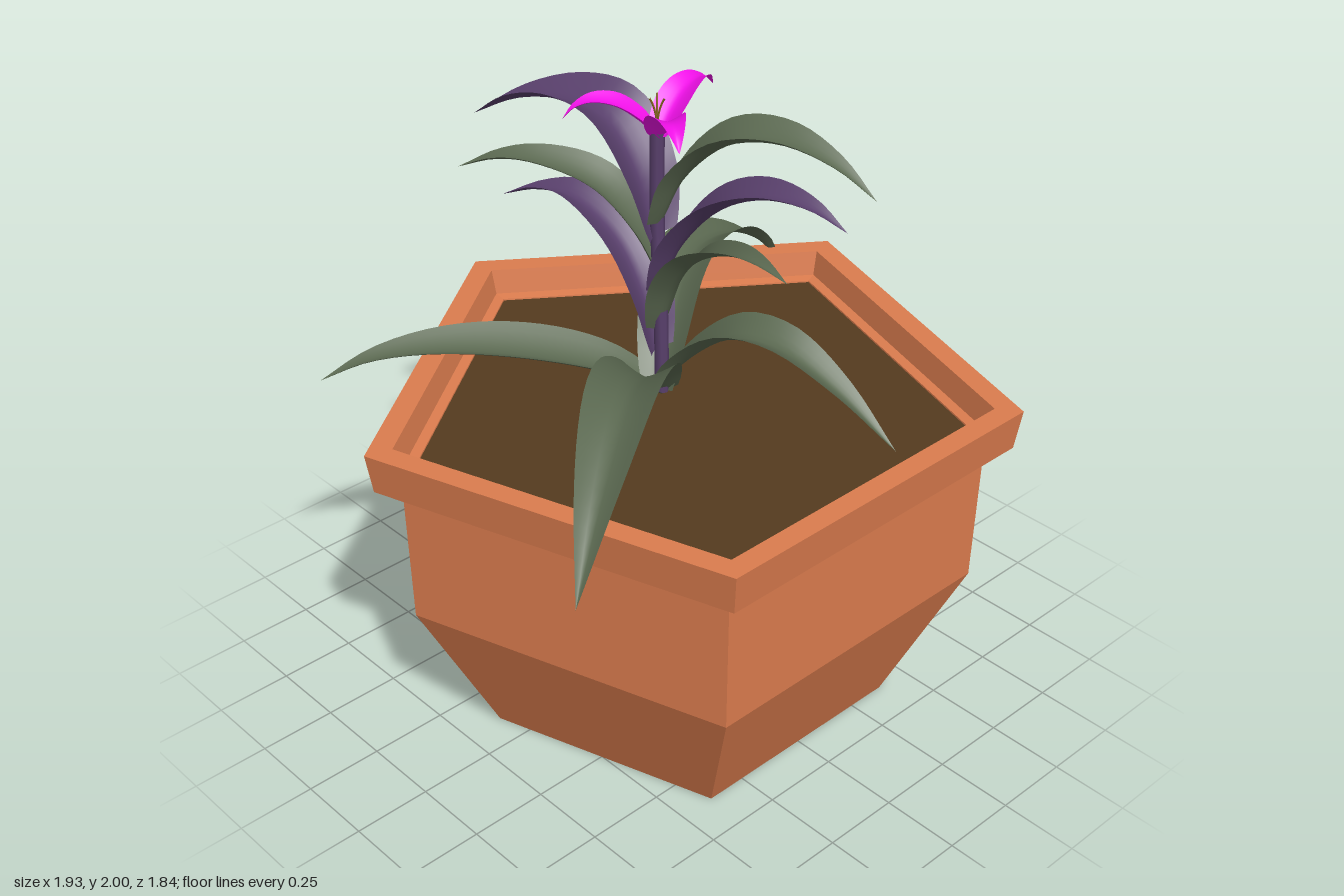
import * as THREE from 'three';

const CENTRE_Z = 0.093; // centre of the five-sided pot
const STEM = new THREE.Vector3(0, 0, -0.025);

const paint = (color, opts = {}) => new THREE.MeshStandardMaterial({ color, ...opts });

// Channelled blade swept along a curve; side is the fixed horizontal across-direction
function bladeGeometry(curve, side, halfWidth, fold, rows = 22, cols = 8) {
  const pos = [], index = [];
  for (let i = 0; i <= rows; i++) {
    const t = i / rows;
    const p = curve.getPointAt(t);
    const normal = curve.getTangentAt(t).cross(side).normalize();
    const w = halfWidth * Math.sin(Math.PI * (0.18 + 0.82 * Math.pow(t, 0.9)));
    for (let j = 0; j <= cols; j++) {
      const s = (j / cols) * 2 - 1;
      const lift = w * fold * (Math.pow(Math.abs(s), 1.4) - 0.4);
      const v = p.clone().addScaledVector(side, s * w).addScaledVector(normal, lift);
      pos.push(v.x, v.y, v.z);
      if (i < rows && j < cols) {
        const a = i * (cols + 1) + j, b = a + cols + 1;
        index.push(a, b, a + 1, a + 1, b, b + 1);
      }
    }
  }
  const g = new THREE.BufferGeometry();
  g.setAttribute('position', new THREE.Float32BufferAttribute(pos, 3));
  g.setIndex(index);
  g.computeVertexNormals();
  return g;
}

// Arching blade from the stem to a tip; arch lists [fraction of reach, height]
function blade(name, material, tip, rootY, arch, halfWidth, bow = 0, fold = 0.5) {
  const root = STEM.clone().setY(rootY);
  const reach = new THREE.Vector3(tip[0], rootY, tip[2]).sub(root);
  const side = new THREE.Vector3(0, 1, 0).cross(reach).normalize();
  const points = arch.map(([f, y]) => root.clone()
    .addScaledVector(reach, f)
    .addScaledVector(side, bow * Math.sin(Math.PI * f))
    .setY(y));
  const curve = new THREE.CatmullRomCurve3([root, ...points, new THREE.Vector3(...tip)]);
  const mesh = new THREE.Mesh(bladeGeometry(curve, side, halfWidth, fold), material);
  mesh.name = name;
  return mesh;
}

export function createModel() {
  const model = new THREE.Group();
  model.name = 'pottedPlant';
  const green = paint(0x5a6850, { side: THREE.DoubleSide });
  const purple = paint(0x583f6b, { side: THREE.DoubleSide });
  const magenta = paint(0xf010e8, { side: THREE.DoubleSide });

  // Pot: one five-sided profile, outside, rim and inside
  const profile = [[0, 0], [0.65, 0], [0.9, 0.5], [0.91, 0.95], [0.995, 0.98], [1.015, 1.11],
    [0.93, 1.11], [0.91, 1.03], [0.872, 1.025], [0.865, 0.98]].map(p => new THREE.Vector2(...p));
  const pot = new THREE.Mesh(new THREE.LatheGeometry(profile, 5, Math.PI),
    paint(0xdb7c4e, { flatShading: true }));
  pot.name = 'pot';
  pot.position.z = CENTRE_Z;
  model.add(pot);

  // Soil
  const soil = new THREE.Mesh(new THREE.CylinderGeometry(0.872, 0.86, 0.04, 5, 1, false, Math.PI),
    paint(0x553b1f, { flatShading: true }));
  soil.name = 'soil';
  soil.position.set(0, 1.0, CENTRE_Z);
  model.add(soil);

  // Stem
  const stemCurve = new THREE.CatmullRomCurve3([[0, 1, -0.01], [0, 1.3, -0.015], [0, 1.6, -0.03], [0, 1.9, -0.03]]
    .map(p => new THREE.Vector3(...p)));
  const stem = new THREE.Mesh(new THREE.TubeGeometry(stemCurve, 16, 0.022, 8), purple);
  stem.name = 'stem';
  model.add(stem);

  // Leaves: material, tip, root height, arch, half width, sideways bow
  const leaves = [
    // long leaves around the base
    [green, [-0.9, 1.0, 0.62], 1.02, [[0.1, 1.14], [0.3, 1.27], [0.48, 1.3], [0.75, 1.19]], 0.11, 0],
    [green, [0.84, 1.02, -0.33], 1.02, [[0.1, 1.14], [0.3, 1.27], [0.5, 1.3], [0.75, 1.25], [0.93, 1.13]], 0.1, 0.09],
    [green, [-0.81, 1.1, -0.66], 1.02, [[0.15, 1.11], [0.4, 1.18], [0.65, 1.2], [0.85, 1.17]], 0.11, 0],
    [green, [0.22, 1.06, 0.75], 1.02, [[0.1, 1.15], [0.3, 1.28], [0.5, 1.29], [0.75, 1.2]], 0.09, 0.02],
    // alternating leaves up the stem
    [purple, [-0.1, 1.5, -0.63], 1.16, [[0.1, 1.34], [0.3, 1.48], [0.6, 1.56], [0.8, 1.55]], 0.1, -0.05],
    [green, [-0.02, 1.61, 0.52], 1.24, [[0.1, 1.4], [0.3, 1.54], [0.6, 1.62], [0.8, 1.63]], 0.075, 0],
    [purple, [0.21, 1.69, 0.53], 1.38, [[0.1, 1.54], [0.3, 1.68], [0.55, 1.745], [0.8, 1.74]], 0.1, 0.02],
    [green, [-0.32, 1.69, -0.56], 1.44, [[0.1, 1.57], [0.3, 1.7], [0.6, 1.75], [0.8, 1.74]], 0.09, 0],
    [purple, [-0.15, 1.77, -0.69], 1.55, [[0.1, 1.73], [0.3, 1.87], [0.55, 1.89], [0.8, 1.85]], 0.13, -0.06],
    [green, [0.28, 1.78, 0.57], 1.6, [[0.1, 1.76], [0.3, 1.88], [0.55, 1.905], [0.8, 1.86]], 0.1, 0.04],
  ];
  leaves.forEach(([mat, tip, rootY, arch, w, bow], i) =>
    model.add(blade(`leaf${i + 1}`, mat, tip, rootY, arch, w, bow)));

  // Flower: three curling petals and fine stamens
  const flower = new THREE.Group();
  flower.name = 'flower';
  [[-0.21, 1.93, -0.2], [0.28, 1.93, -0.09], [-0.13, 1.93, 0.2]].forEach((tip, i) =>
    flower.add(blade(`petal${i + 1}`, magenta, tip, 1.87,
      [[0.2, 1.93], [0.45, 1.975], [0.7, 1.985], [0.88, 1.965]], 0.055, 0, 0.4)));
  const gold = paint(0x8a6a20);
  for (let i = 0; i < 3; i++) {
    const a = (i / 3) * Math.PI * 2 + 0.3;
    const curve = new THREE.QuadraticBezierCurve3(
      new THREE.Vector3(0, 1.88, -0.03), new THREE.Vector3(0, 1.95, -0.03),
      new THREE.Vector3(0.025 * Math.sin(a), 1.99, -0.03 + 0.025 * Math.cos(a)));
    const stamen = new THREE.Mesh(new THREE.TubeGeometry(curve, 6, 0.003, 5), gold);
    stamen.name = `stamen${i + 1}`;
    flower.add(stamen);
  }
  model.add(flower);
  return model;
}
